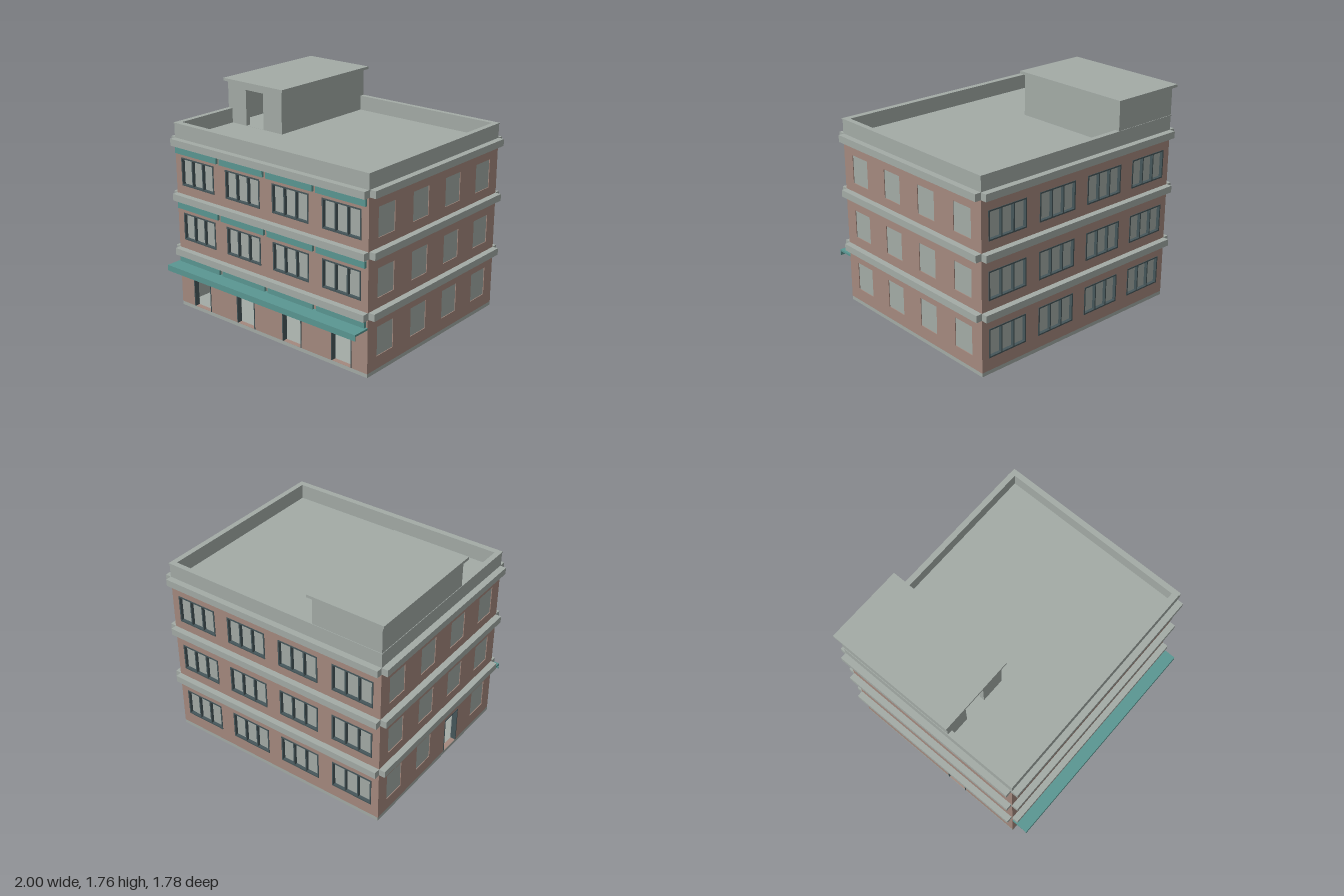
import * as THREE from 'three';

const mat = (name, color) => {
  const m = new THREE.MeshStandardMaterial({ color });
  m.name = name;
  return m;
};

export function createModel() {
  const concrete = mat('concrete grey', 0xa3aba6);
  const brick = mat('brick', 0xa4897e);
  const teal = mat('teal', 0x5a9692);
  const dark = mat('dark frame', 0x46565a);

  const model = new THREE.Group();
  model.name = 'building';

  const add = (parent, name, geometry, material) => {
    const mesh = new THREE.Mesh(geometry, material);
    mesh.name = name;
    parent.add(mesh);
    return mesh;
  };
  // Box given by its limits on each axis
  const box = (parent, name, material, [x0, x1], [y0, y1], [z0, z1]) => {
    const g = new THREE.BoxGeometry(x1 - x0, y1 - y0, z1 - z0);
    g.translate((x0 + x1) / 2, (y0 + y1) / 2, (z0 + z1) / 2);
    return add(parent, name, g, material);
  };
  const trace = (path, { x0, x1, y0, y1 }) => {
    path.moveTo(x0, y0);
    path.lineTo(x1, y0);
    path.lineTo(x1, y1);
    path.lineTo(x0, y1);
    path.closePath();
    return path;
  };
  // Rectangular panel with rectangular holes, from z = back to z = front
  const panel = (outer, holes, back, front) => {
    const shape = trace(new THREE.Shape(), outer);
    holes.forEach(h => shape.holes.push(trace(new THREE.Path(), h)));
    const g = new THREE.ExtrudeGeometry(shape, { depth: front - back, bevelEnabled: false });
    return g.translate(0, 0, back);
  };
  const rect = (cx, w, y0, y1) => ({ x0: cx - w / 2, x1: cx + w / 2, y0, y1 });

  // Window with a dark frame and three recessed panes
  const framedWindow = (parent, r) => {
    const border = 0.011, bar = 0.01;
    const pane = (r.x1 - r.x0 - 2 * border - 2 * bar) / 3;
    const holes = [0, 1, 2].map(i => {
      const x0 = r.x0 + border + i * (pane + bar);
      return { x0, x1: x0 + pane, y0: r.y0 + border, y1: r.y1 - border };
    });
    add(parent, 'windowFrame', panel(r, holes, -0.035, 0.004), dark);
    box(parent, 'windowGlass', concrete, [r.x0, r.x1], [r.y0, r.y1], [-0.03, -0.022]);
  };
  const plainWindow = (parent, r) =>
    box(parent, 'sideWindow', concrete, [r.x0, r.x1], [r.y0, r.y1], [-0.03, -0.006]);
  // Open doorway lined with a thin dark frame
  const doorFrame = (parent, r) => {
    const t = 0.008;
    box(parent, 'doorJamb', dark, [r.x0, r.x0 + t], [r.y0, r.y1], [-0.04, 0.003]);
    box(parent, 'doorJamb', dark, [r.x1 - t, r.x1], [r.y0, r.y1], [-0.04, 0.003]);
    box(parent, 'doorHead', dark, [r.x0, r.x1], [r.y1 - t, r.y1], [-0.04, 0.003]);
  };

  // A brick wall whose outer face is at local z = 0
  const facade = (name, width, windows, doors, makeWindow, x, z, turn) => {
    const g = new THREE.Group();
    g.name = name;
    const outer = rect(0, width, 0.03, 1.35);
    add(g, 'brickWall', panel(outer, [...windows, ...doors], -0.04, 0), brick);
    const lining = rect(0, width - 0.08, 0.03, 0.45);
    add(g, 'innerLining', panel(lining, doors, -0.05, -0.04), concrete);
    windows.forEach(r => makeWindow(g, r));
    doors.forEach(r => doorFrame(g, r));
    g.position.set(x, 0, z);
    g.rotation.y = turn;
    model.add(g);
    return g;
  };

  const floors = [[0.13, 0.36], [0.582, 0.806], [1.032, 1.258]];
  const bays = [-0.712, -0.237, 0.237, 0.712];
  const sideBays = [-0.595, -0.198, 0.198, 0.595];
  const midZ = -0.045;

  const wide = floors.map(([a, b]) => bays.map(c => rect(c, 0.35, a, b)));
  const narrow = floors.map(([a, b]) => sideBays.map(c => rect(c, 0.187, a, b)));
  const frontDoors = bays.map(c => rect(c, 0.19, 0.031, 0.342));
  const sideDoor = rect(sideBays[2], 0.187, 0.031, 0.342);

  facade('frontWall', 1.9, [...wide[1], ...wide[2]], frontDoors, framedWindow, 0, 0.75, 0);
  facade('backWall', 1.9, wide.flat(), [], framedWindow, 0, -0.84, Math.PI);
  facade('leftWall', 1.51, narrow.flat(), [], plainWindow, 0.95, midZ, Math.PI / 2);
  facade('rightWall', 1.51, narrow.flat().filter((r, i) => i !== 2), [sideDoor],
    plainWindow, -0.95, midZ, -Math.PI / 2);

  // Ground slab and the projecting floor bands, notched at the corners
  box(model, 'groundSlab', concrete, [-0.95, 0.95], [0, 0.03], [-0.84, 0.75]);
  for (const y of [0.45, 0.905, 1.35]) {
    box(model, 'floorBandSides', concrete, [-1, 1], [y, y + 0.055], [-0.84, 0.74]);
    box(model, 'floorBandFrontBack', concrete, [-0.95, 0.95], [y, y + 0.055], [-0.89, 0.8]);
  }

  // Teal boards above each front bay
  for (const [a, b] of [[0.385, 0.445], [0.84, 0.89], [1.288, 1.34]])
    for (const c of bays)
      box(model, 'fasciaBoard', teal, [c - 0.221, c + 0.221], [a, b], [0.75, 0.77]);

  // Entrance canopy with a front lip
  box(model, 'canopy', teal, [-0.95, 0.95], [0.375, 0.39], [0.75, 0.89]);
  box(model, 'canopyLip', teal, [-0.95, 0.95], [0.342, 0.376], [0.883, 0.89]);

  // Parapet ring and coping
  const ring = (name, grow, y0, y1) => {
    const g = panel(
      { x0: -0.95 - grow, x1: 0.95 + grow, y0: -0.75 - grow, y1: 0.84 + grow },
      [{ x0: -0.91, x1: 0.91, y0: -0.705, y1: 0.802 }], y0, y1);
    add(model, name, g.rotateX(-Math.PI / 2), concrete);
  };
  ring('parapet', 0, 1.405, 1.516);
  ring('parapetCoping', 0.004, 1.516, 1.524);

  // Stair house on the roof, with an open doorway
  const house = new THREE.Group();
  house.name = 'stairHouse';
  model.add(house);
  const hy = [1.405, 1.745];
  const doorway = { x0: -0.755, x1: -0.57, y0: 1.406, y1: 1.697 };
  add(house, 'stairHouseFront',
    panel({ x0: -0.95, x1: -0.375, y0: hy[0], y1: hy[1] }, [doorway], 0.125, 0.165), concrete);
  box(house, 'stairHouseBack', concrete, [-0.95, -0.375], hy, [-0.84, -0.8]);
  box(house, 'stairHouseRightSide', concrete, [-0.95, -0.91], hy, [-0.8, 0.125]);
  box(house, 'stairHouseLeftSide', concrete, [-0.415, -0.375], hy, [-0.8, 0.125]);
  box(house, 'stairHouseRoof', concrete, [-0.977, -0.346], [1.743, 1.765], [-0.865, 0.19]);

  return model;
}
